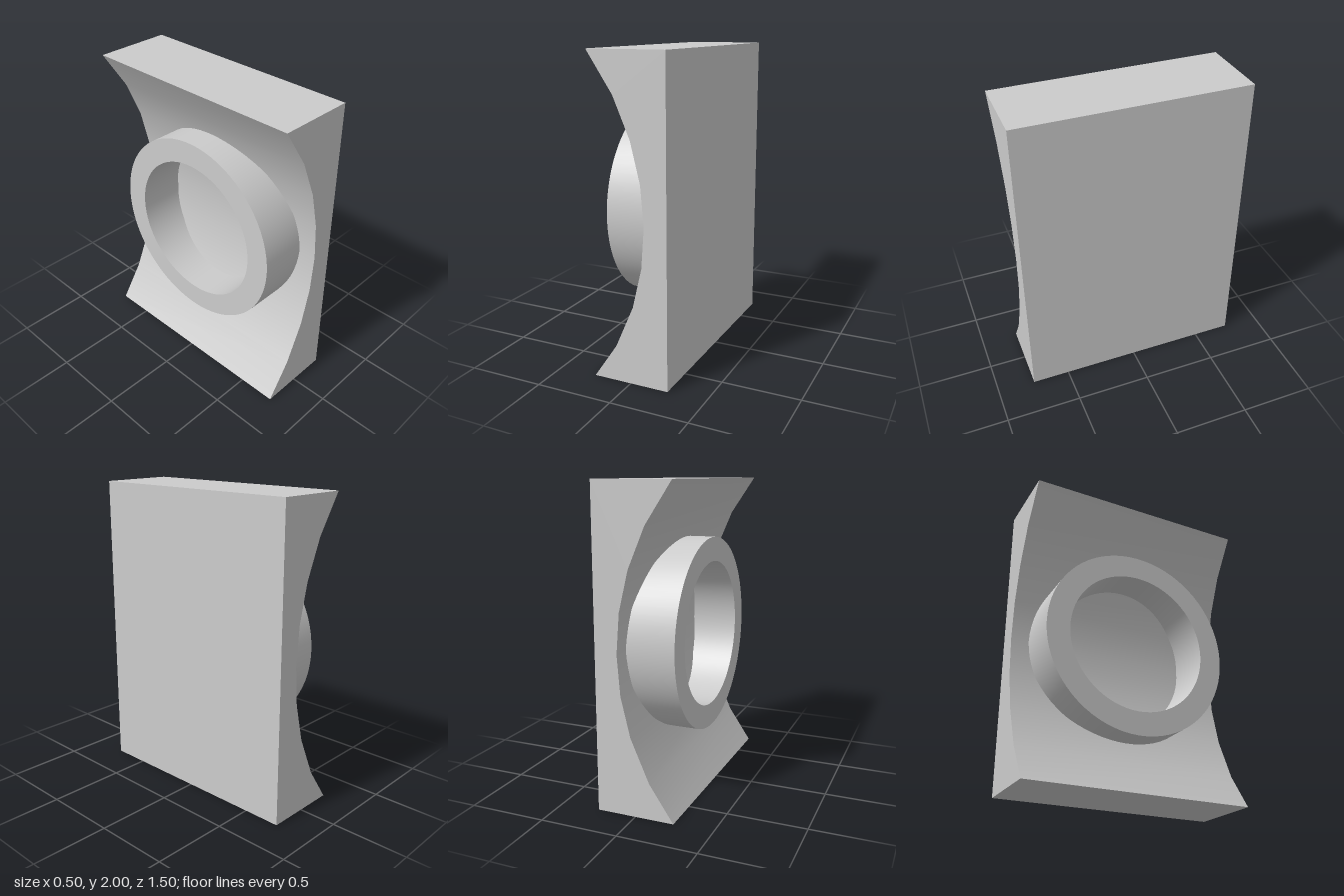
import * as THREE from 'three';
import { toCreasedNormals } from 'three/addons/utils/BufferGeometryUtils.js';

const HEIGHT = 2, DEPTH = 1.5, HALF_WIDTH = 0.25, MID_Y = 1;
const ARC_RADIUS = 1.586, ARC_CENTRE = 0.105 - ARC_RADIUS;
const RING_OUTER = 0.632, RING_INNER = 0.476, RING_FACE = -0.21;

// Heights of the facet edges on the hollow side
const facetY = [0, 0.23, 0.5, 0.75, 1, 1.25, 1.5, 1.75, 2];
const arcX = (y) => ARC_CENTRE + Math.sqrt(ARC_RADIUS ** 2 - (y - MID_Y) ** 2);

// x of the faceted hollow at height y
function hollowX(y) {
  let i = 0;
  while (i < facetY.length - 2 && y > facetY[i + 1]) i++;
  const t = (y - facetY[i]) / (facetY[i + 1] - facetY[i]);
  return THREE.MathUtils.lerp(arcX(facetY[i]), arcX(facetY[i + 1]), t);
}

export function createModel() {
  const group = new THREE.Group();
  group.name = 'hollowedBlockWithRing';
  const material = new THREE.MeshStandardMaterial({ color: 0xcccccc });

  // Block: rectangle with one side scooped out by a shallow arc
  const profile = new THREE.Shape();
  profile.moveTo(HALF_WIDTH, 0);
  profile.lineTo(HALF_WIDTH, HEIGHT);
  [...facetY].reverse().forEach((y) => profile.lineTo(arcX(y), y));
  profile.closePath();
  const blockGeometry = new THREE.ExtrudeGeometry(profile, { depth: DEPTH, bevelEnabled: false });
  blockGeometry.translate(0, 0, -DEPTH / 2);
  const block = new THREE.Mesh(toCreasedNormals(blockGeometry, 0.4), material);
  block.name = 'block';
  group.add(block);

  // Ring: outer wall, flat face and bore, turned to face -x
  const section = [
    new THREE.Vector2(RING_OUTER, 0),
    new THREE.Vector2(RING_OUTER, -RING_FACE),
    new THREE.Vector2(RING_INNER, -RING_FACE),
    new THREE.Vector2(RING_INNER, 0),
  ];
  const ringGeometry = new THREE.LatheGeometry(section, 72);
  ringGeometry.rotateZ(Math.PI / 2);
  ringGeometry.translate(0, MID_Y, 0);

  // Fit the base edges of the ring to the hollow, sunk in slightly
  const position = ringGeometry.attributes.position;
  for (let i = 0; i < position.count; i++) {
    if (position.getX(i) > RING_FACE + 0.01) {
      position.setX(i, hollowX(position.getY(i)) + 0.005);
    }
  }
  const ring = new THREE.Mesh(toCreasedNormals(ringGeometry, 0.5), material);
  ring.name = 'ring';
  group.add(ring);

  return group;
}
